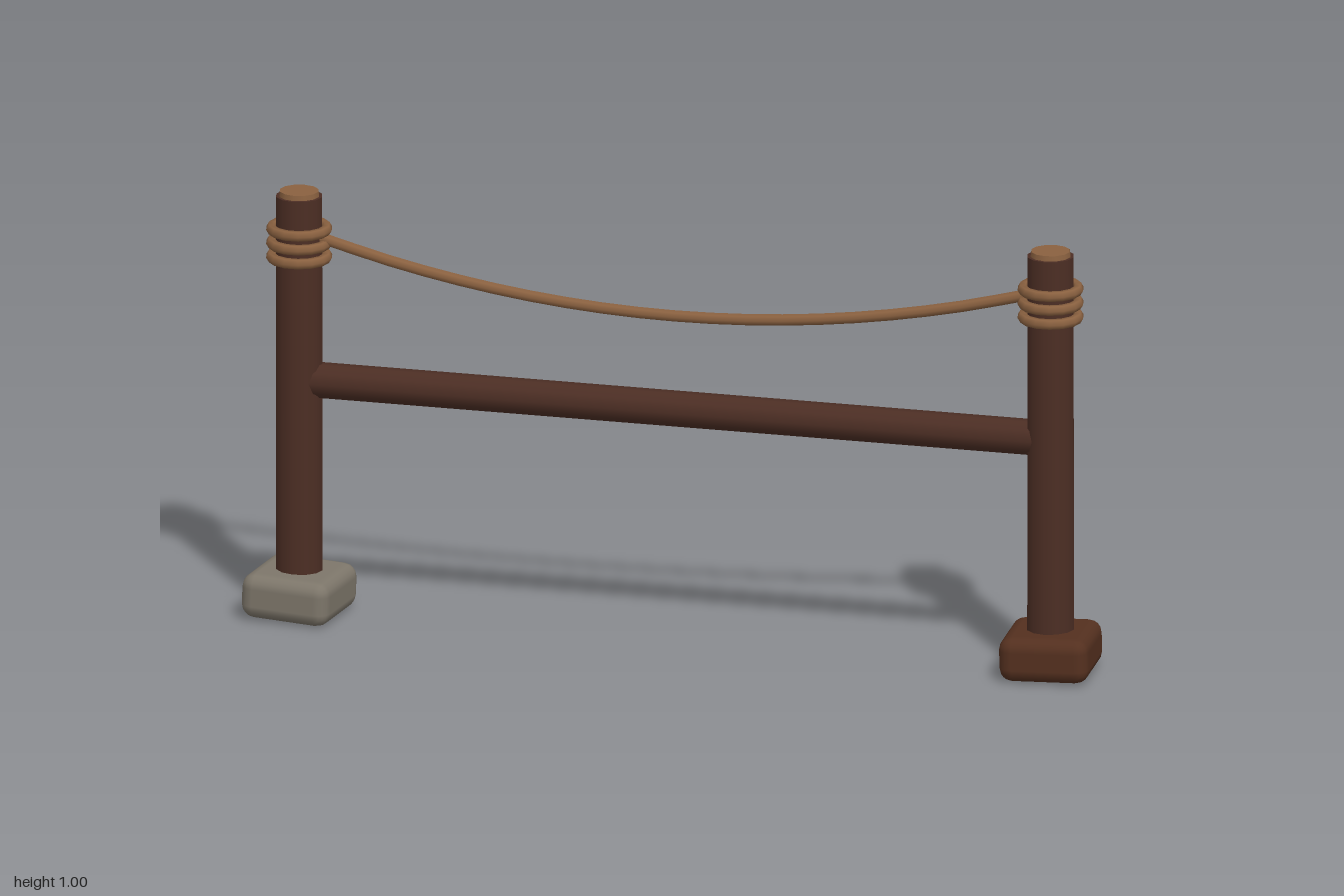
import * as THREE from 'three';
import { RoundedBoxGeometry } from 'three/addons/geometries/RoundedBoxGeometry.js';

const material = (name, color) => {
  const m = new THREE.MeshStandardMaterial({ color });
  m.name = name;
  return m;
};

export function createModel() {
  const wood = material('dark wood', 0x4c2e24);
  const redWood = material('reddish wood', 0x54301f);
  const rope = material('rope', 0x8a6140);
  const stone = material('stone', 0x7d766a);

  const model = new THREE.Group();
  model.name = 'ropeFence';
  const add = (parent, name, geometry, mat, x = 0, y = 0, z = 0) => {
    const mesh = new THREE.Mesh(geometry, mat);
    mesh.name = name;
    mesh.position.set(x, y, z);
    parent.add(mesh);
    return mesh;
  };

  const postX = 0.885;
  for (const side of [-1, 1]) {
    const post = new THREE.Group();
    post.name = side > 0 ? 'leftPost' : 'rightPost';
    post.position.x = side * postX;
    model.add(post);

    // Round post with a pale cut top
    add(post, 'shaft', new THREE.CylinderGeometry(0.054, 0.055, 0.95, 12), wood, 0, 0.525);
    add(post, 'cutTop', new THREE.CylinderGeometry(0.045, 0.047, 0.014, 12), rope, 0, 1.005);

    // Three turns of rope wrapped below the top
    for (const y of [0.856, 0.889, 0.922]) {
      const turn = add(post, 'ropeTurn', new THREE.TorusGeometry(0.064, 0.0125, 6, 14), rope, 0, y);
      turn.rotation.x = Math.PI / 2;
    }

    // Rounded footing, slightly askew
    const size = side > 0 ? 0.208 : 0.213;
    const foot = add(post, 'footing', new RoundedBoxGeometry(size, 0.105, size + 0.006, 2, 0.032),
      side > 0 ? redWood : stone, 0, 0.062);
    foot.rotation.set(0, side > 0 ? 0.07 : -0.11, side > 0 ? 0.02 : -0.03);
  }

  // Horizontal rail between the posts
  const rail = add(model, 'rail', new THREE.CylinderGeometry(0.041, 0.041, 1.74, 10), wood, 0, 0.565);
  rail.rotation.z = Math.PI / 2;

  // Sagging rope
  const points = [];
  for (let i = 0; i <= 10; i++) {
    const t = i / 5 - 1;
    points.push(new THREE.Vector3(t * 0.84, 0.785 + 0.12 * t * t, 0));
  }
  add(model, 'saggingRope',
    new THREE.TubeGeometry(new THREE.CatmullRomCurve3(points), 20, 0.0135, 8), rope);

  return model;
}
